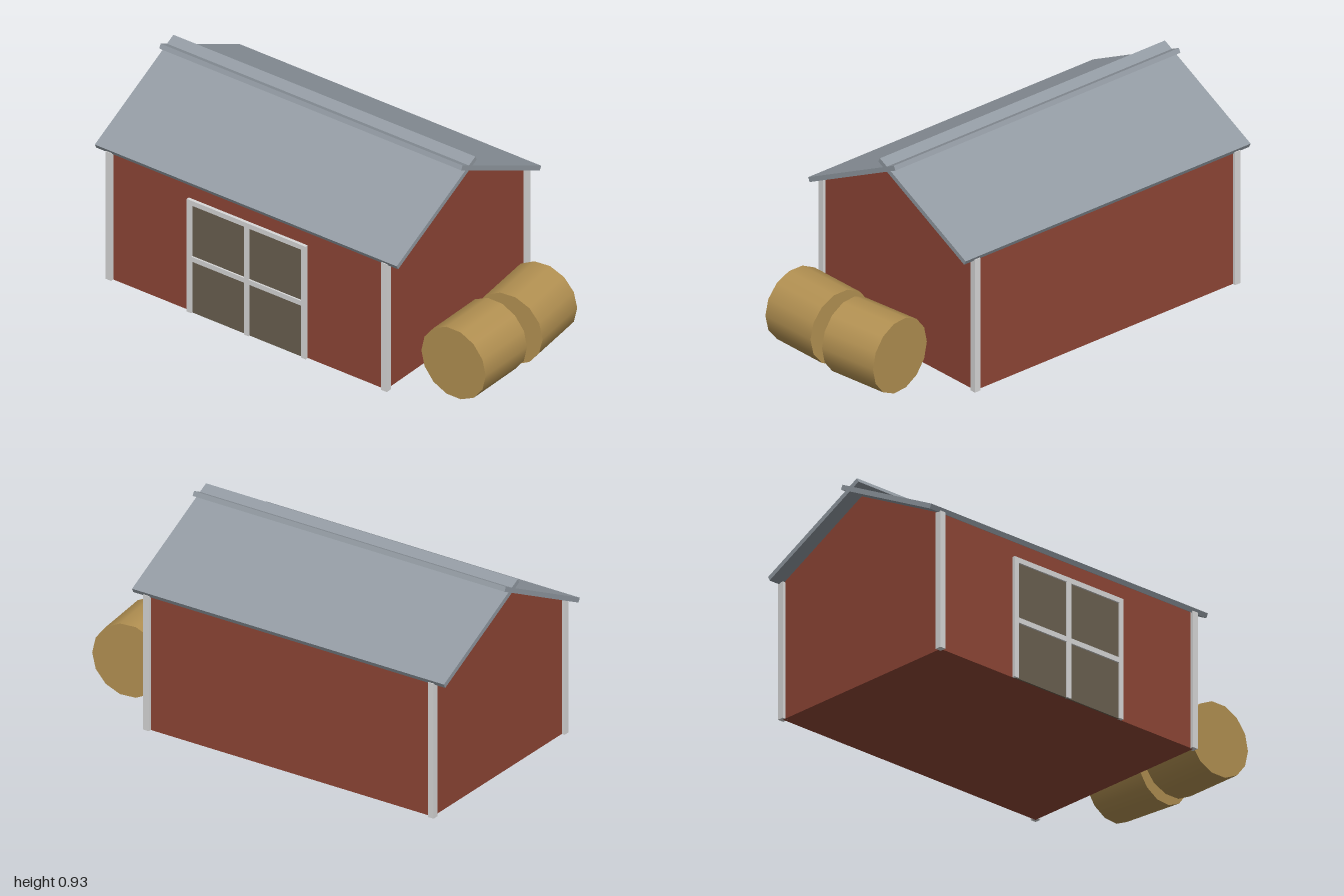
import * as THREE from 'three';

const mat = (name, color) => {
  const m = new THREE.MeshStandardMaterial({ color });
  m.name = name;
  return m;
};

export function createModel() {
  const red = mat('barn red', 0x8f4636);
  const trim = mat('pale trim', 0xd8d8d8);
  const metal = mat('roof grey', 0x929aa2);
  const wood = mat('door brown', 0x6a6050);
  const hay = mat('hay', 0xb39152);

  const group = new THREE.Group();
  const add = (name, geometry, material, x, y, z) => {
    const mesh = new THREE.Mesh(geometry, material);
    mesh.name = name;
    mesh.position.set(x, y, z);
    group.add(mesh);
    return mesh;
  };
  const box = (name, material, w, h, d, x, y, z) =>
    add(name, new THREE.BoxGeometry(w, h, d), material, x, y, z);

  const cx = -0.193; // middle of the barn
  const halfL = 0.737, halfW = 0.49, wallH = 0.64, apex = 0.885;

  // Gabled body, extruded along x
  const gable = new THREE.Shape([
    new THREE.Vector2(-halfW, 0),
    new THREE.Vector2(halfW, 0),
    new THREE.Vector2(halfW, wallH),
    new THREE.Vector2(0, apex),
    new THREE.Vector2(-halfW, wallH),
  ]);
  const body = new THREE.ExtrudeGeometry(gable, { depth: halfL * 2, bevelEnabled: false });
  body.translate(0, 0, -halfL).rotateY(Math.PI / 2);
  add('barnBody', body, red, cx, 0, 0);

  // Two roof slabs crossing at the ridge
  for (const s of [1, -1]) {
    const slab = box('roofSlab', metal, 1.615, 0.022, 0.618, cx, 0.782, s * 0.2265);
    slab.rotation.x = s * Math.atan(0.5);
  }

  // Corner posts
  for (const sx of [1, -1])
    for (const sz of [1, -1])
      box('cornerPost', trim, 0.03, wallH, 0.03, cx + sx * halfL, wallH / 2, sz * halfW);

  // Double door with its frame
  box('doorPanel', wood, 0.61, 0.55, 0.008, cx, 0.275, 0.493);
  for (const dx of [-0.306, 0, 0.306])
    box('doorUpright', trim, 0.024, 0.565, 0.016, cx, 0.2825, 0.497).position.x += dx;
  for (const y of [0.272, 0.553])
    box('doorRail', trim, 0.612, 0.024, 0.0155, cx, y, 0.497);

  // Round hay bales lying beside the barn
  const bale = new THREE.CylinderGeometry(0.172, 0.172, 0.291, 14, 1, false, Math.PI / 2);
  bale.rotateX(Math.PI / 2);
  add('frontBale', bale, hay, 0.81, 0.172, 0.22);
  add('backBale', bale, hay, 0.808, 0.172, -0.14).rotation.y = 0.12;

  return group;
}
